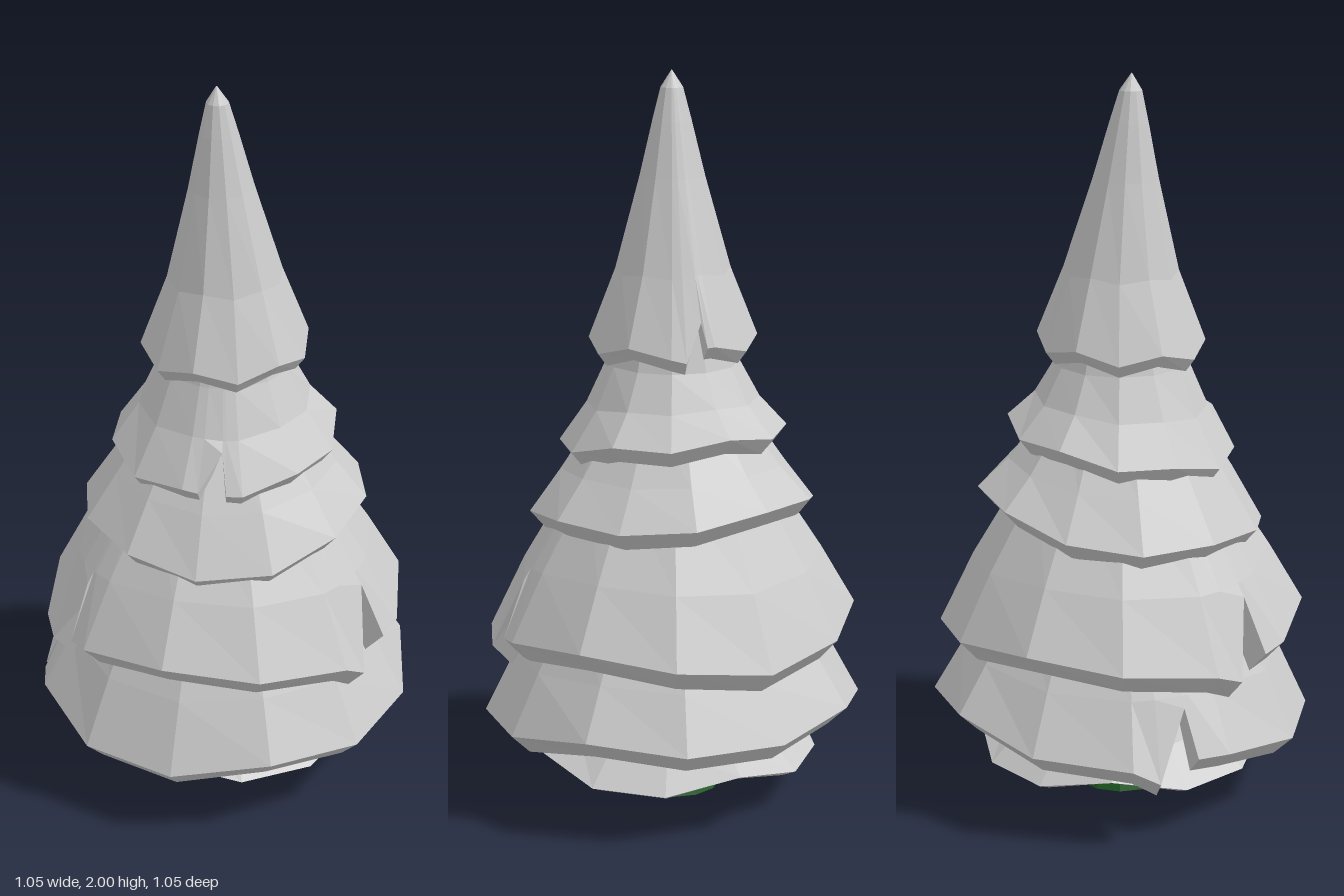
import * as THREE from 'three';

const grey = new THREE.MeshStandardMaterial({ color: 0xcccccc, flatShading: true });
const green = new THREE.MeshStandardMaterial({ color: 0x1f5a22, flatShading: true });
const SIDES = 12;
const { degToRad, lerp } = THREE.MathUtils;

// Each skirt: rings [y, radius] from the top down, then its hem. The hem height is
// base, raised at the back by tilt, with a wave of [height, count, angle].
// Notches are [peakAngle, peakY, lipAngle, lipY], angles turning from +x to +z.
const tiers = [
  { name: 'crown', turn: 0, radius: 0.228, thick: 0.035,
    rings: [[2, 0.001], [1.955, 0.03], [1.87, 0.052], [1.72, 0.088], [1.47, 0.155]],
    base: 1.275, tilt: 0.01, wave: [0.014, 6, 90], notches: [[277, 1.36, 290, 1.26]] },
  { name: 'upperSkirt', turn: 0, radius: 0.31, thick: 0.045,
    rings: [[1.4, 0.13], [1.22, 0.182], [1.11, 0.235]],
    base: 1.01, tilt: 0.045, wave: [0.01, 6, 90], notches: [[70, 1.07, 82, 0.97]] },
  { name: 'middleSkirt', turn: -10, radius: 0.395, thick: 0.05,
    rings: [[1.12, 0.18], [0.93, 0.31]],
    base: 0.815, tilt: 0.05, wave: [0.02, 3, 5], notches: [] },
  { name: 'lowerSkirt', turn: -2, radius: 0.505, thick: 0.06,
    rings: [[0.92, 0.26], [0.68, 0.41]],
    base: 0.5, tilt: 0, wave: [0.03, 3, 88],
    notches: [[9, 0.64, 20, 0.43], [129, 0.64, 139, 0.44]] },
  { name: 'wideSkirt', turn: -5, radius: 0.525, thick: 0.055,
    rings: [[0.62, 0.32], [0.41, 0.44]],
    base: 0.252, tilt: 0.035, wave: [0.022, 4, 55], notches: [[157, 0.38, 167, 0.2]] },
  { name: 'bottomSkirt', turn: 2, radius: 0.4, thick: 0.02,
    rings: [[0.37, 0.21], [0.21, 0.3]],
    base: 0.125, tilt: 0, wave: [0.027, 4, 92], notches: [] },
];

// Joins closed loops of points, listed from the top outside to the bottom inside
function loft(loops) {
  const n = loops[0].length, index = [];
  for (let j = 0; j < loops.length - 1; j++) {
    for (let i = 0; i < n; i++) {
      const a = j * n + i, b = j * n + (i + 1) % n;
      index.push(a, b, a + n, b, b + n, a + n);
    }
  }
  const geo = new THREE.BufferGeometry();
  geo.setAttribute('position', new THREE.Float32BufferAttribute(loops.flat(2), 3));
  geo.setIndex(index);
  const flat = geo.toNonIndexed();
  flat.computeVertexNormals();
  return flat;
}

function skirt({ turn, radius, thick, rings, base, tilt, wave, notches }) {
  const [height, count, phase] = wave;
  const hemAt = (deg) => base - tilt * Math.sin(degToRad(deg))
    + height * Math.cos(degToRad(count * (deg - phase)));

  // Columns round the skirt: regular corners plus three for every torn notch
  const columns = [];
  for (let k = 0; k < SIDES; k++) {
    const deg = turn + k * 360 / SIDES;
    columns.push({ deg, y: hemAt(deg), r: radius, thick });
  }
  const [lastY, lastR] = rings[rings.length - 1];
  for (const [peak, peakY, lip, lipY] of notches) {
    const f = (lastY - peakY) / (lastY - base);
    columns.push(
      { deg: peak - 2, y: hemAt(peak - 2), r: radius * 0.98, thick },
      { deg: peak, y: peakY, r: lerp(lastR, radius, f), thick: 0.01 },
      { deg: lip, y: lipY, r: radius, thick });
  }
  columns.sort((a, b) => a.deg - b.deg);

  // One loop of points; the tip of the tree leans a little
  const loop = (fn) => columns.map((c) => {
    const [y, r] = fn(c), a = degToRad(c.deg), lean = Math.max(0, (y - 1.5) / 0.5);
    return [r * Math.cos(a) - 0.012 * lean, y, r * Math.sin(a) + 0.028 * lean];
  });
  const loops = rings.map(([y, r], i) => loop((c) => {
    const follow = i === rings.length - 1 ? 0.4 * (hemAt(c.deg) - base) : 0;
    return [y + follow, r];
  }));
  loops.push(
    loop((c) => [c.y, c.r]),                                  // hem edge
    loop((c) => [c.y - c.thick, c.r - 0.1 * radius - 0.003]), // hem underside
    loop(() => [base + 0.08, radius * 0.72]),                 // hollow inside
    loop(() => [base + 0.09, 0.01]));
  return loft(loops);
}

export function createModel() {
  const tree = new THREE.Group();
  tree.name = 'tree';
  for (const tier of tiers) {
    const mesh = new THREE.Mesh(skirt(tier), grey);
    mesh.name = tier.name;
    tree.add(mesh);
  }
  // Flared trunk
  const profile = [[0, 0], [0.132, 0], [0.112, 0.05], [0.105, 0.12], [0.105, 0.25]];
  const trunk = new THREE.Mesh(
    new THREE.LatheGeometry(profile.map(([x, y]) => new THREE.Vector2(x, y)), SIDES), green);
  trunk.name = 'trunk';
  tree.add(trunk);
  return tree;
}
